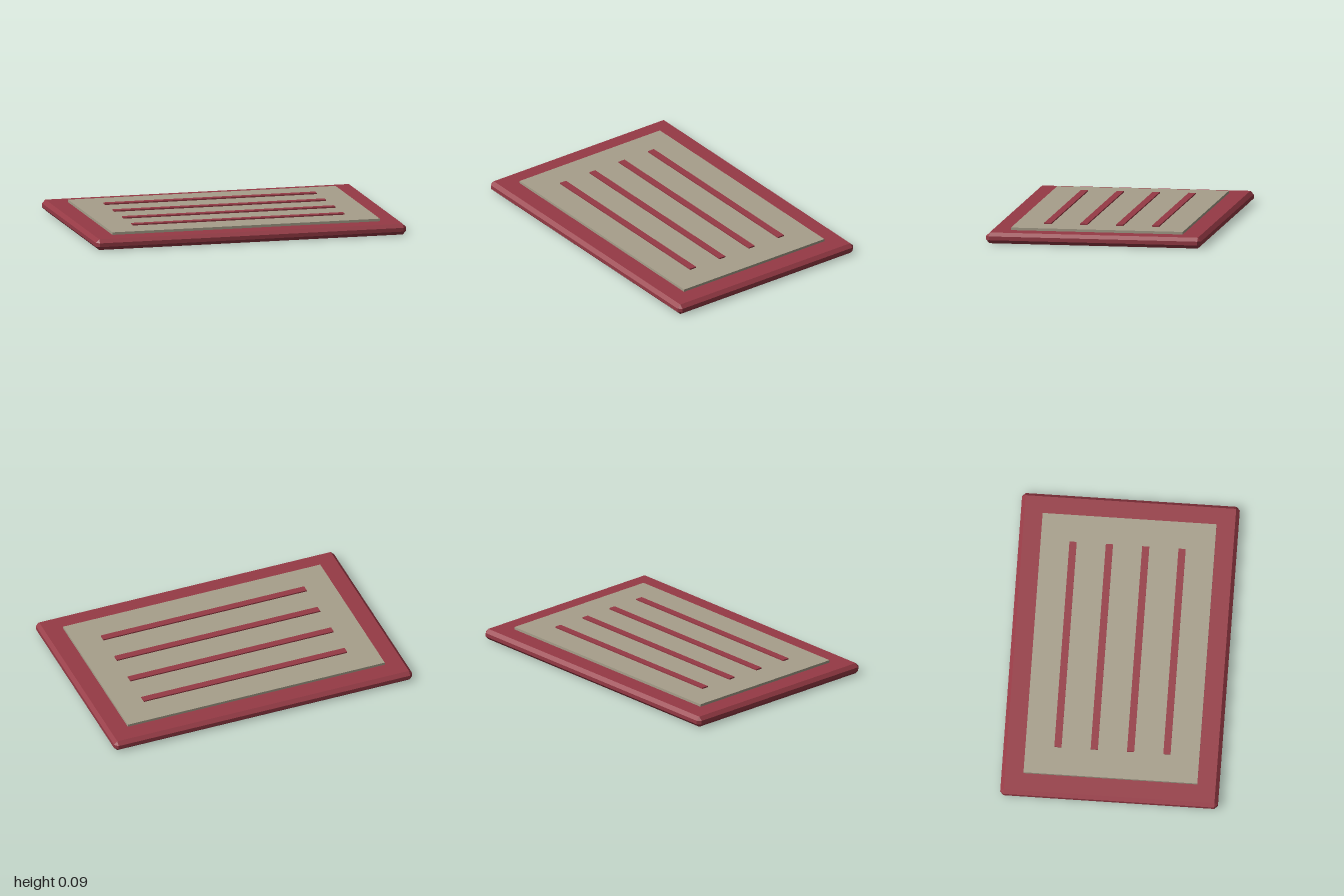
import * as THREE from 'three';
import { ConvexGeometry } from 'three/addons/geometries/ConvexGeometry.js';

const red = new THREE.MeshStandardMaterial({ color: 0x963a45 });
const beige = new THREE.MeshStandardMaterial({ color: 0xa79f8b });

// Box with every edge and corner cut at 45 degrees
function chamferedBox(w, h, d, c) {
  const points = [];
  for (const sx of [-1, 1]) for (const sy of [-1, 1]) for (const sz of [-1, 1]) {
    for (const [a, b, e] of [[0, c, c], [c, 0, c], [c, c, 0]]) {
      points.push(new THREE.Vector3(sx * (w / 2 - a), sy * (h / 2 - b), sz * (d / 2 - e)));
    }
  }
  return new ConvexGeometry(points);
}

export function createModel() {
  const model = new THREE.Group();

  function add(name, geometry, material, y, z = 0) {
    const mesh = new THREE.Mesh(geometry, material);
    mesh.name = name;
    mesh.position.set(0, y, z);
    model.add(mesh);
  }

  // Bevelled base slab
  add('base', chamferedBox(2, 0.068, 1.36, 0.022), red, 0.034);

  // Raised inset panel
  add('panel', new THREE.BoxGeometry(1.724, 0.016, 1.086), beige, 0.076);

  // Four raised stripes, evenly spaced
  for (let i = 0; i < 4; i++) {
    add(`stripe${i + 1}`, new THREE.BoxGeometry(1.364, 0.012, 0.045), red, 0.086, (i - 1.5) * 0.227);
  }
  return model;
}
